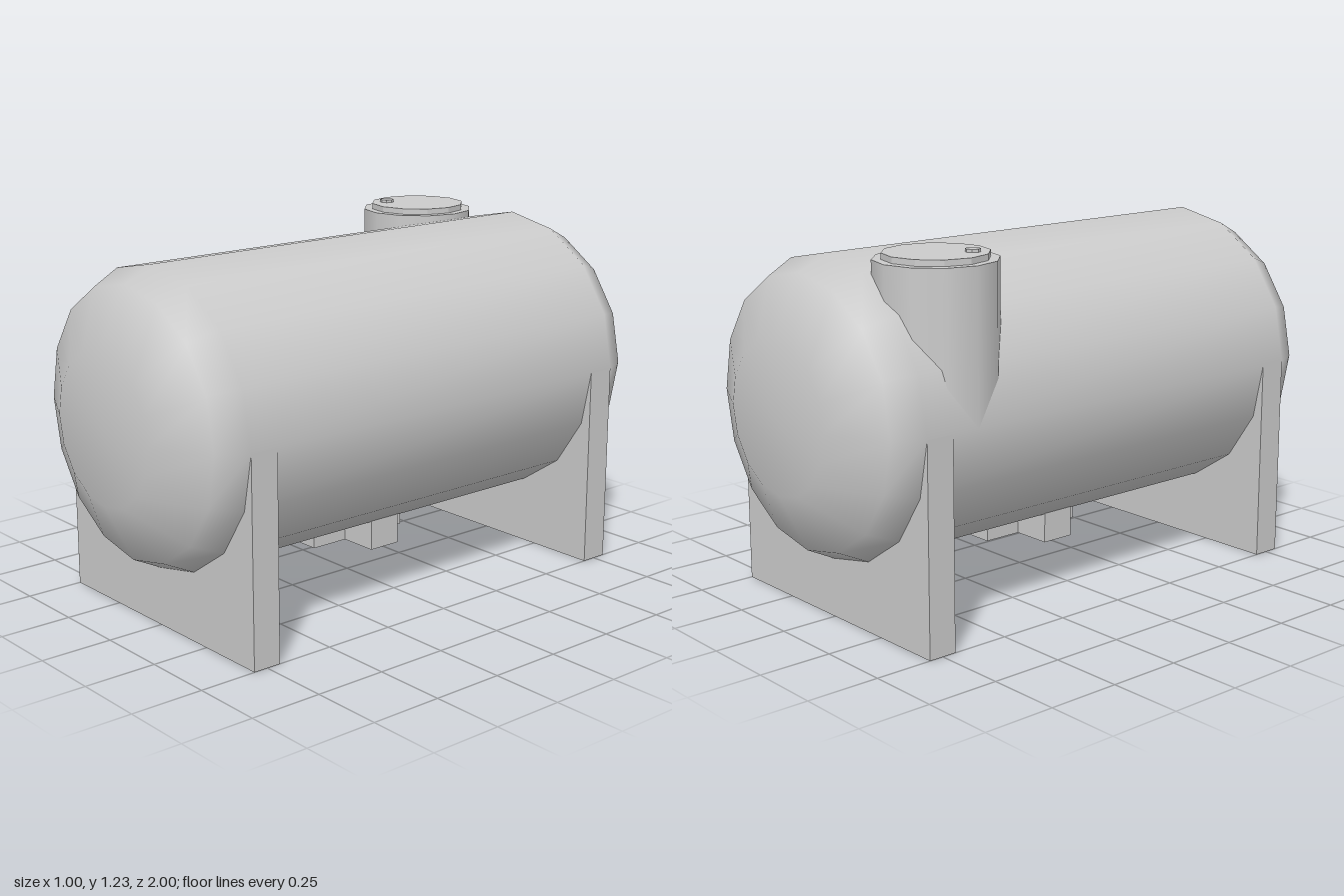
import * as THREE from 'three';

const smooth = new THREE.MeshStandardMaterial({ color: 0xcccccc });
const flat = new THREE.MeshStandardMaterial({ color: 0xcccccc, flatShading: true });

export function createModel() {
  const group = new THREE.Group();

  function add(name, geometry, x, y, z, material = flat) {
    const mesh = new THREE.Mesh(geometry, material);
    mesh.name = name;
    mesh.position.set(x, y, z);
    group.add(mesh);
    return mesh;
  }

  // Horizontal tank with domed ends, 16 sides
  const profile = [[0, -1], [0.25, -1], [0.45, -0.9], [0.5, -0.8], [0.5, 0.8], [0.45, 0.9], [0.25, 1], [0, 1]]
    .map(([r, h]) => new THREE.Vector2(r, h));
  add('tank', new THREE.LatheGeometry(profile, 16), 0, 0.7, 0, smooth).rotation.x = Math.PI / 2;

  // Slab supports, cradling the tank up to its mid-height
  for (const side of [1, -1]) {
    add(side > 0 ? 'frontSupport' : 'backSupport', new THREE.BoxGeometry(1, 0.7, 0.1), 0, 0.35, 0.75 * side);
  }

  // Filler neck rising out of the tank, with its lid and knob
  add('fillerNeck', new THREE.CylinderGeometry(0.2, 0.2, 0.5, 12), -0.3, 0.95, -0.6, smooth);
  add('fillerLid', new THREE.CylinderGeometry(0.17, 0.17, 0.02, 12), -0.3, 1.21, -0.6);
  add('lidKnob', new THREE.CylinderGeometry(0.025, 0.025, 0.01, 8), -0.38, 1.225, -0.52);

  // Cross-shaped drain fitting under the belly
  const a = 0.06, b = 0.2;
  const cross = new THREE.Shape(
    [[a, b], [-a, b], [-a, a], [-b, a], [-b, -a], [-a, -a], [-a, -b], [a, -b], [a, -a], [b, -a], [b, a], [a, a]]
      .map(([x, y]) => new THREE.Vector2(x, y)));
  const crossGeometry = new THREE.ExtrudeGeometry(cross, { depth: 0.14, bevelEnabled: false });
  add('drainFitting', crossGeometry, 0, 0.14, 0).rotation.x = -Math.PI / 2;

  return group;
}
